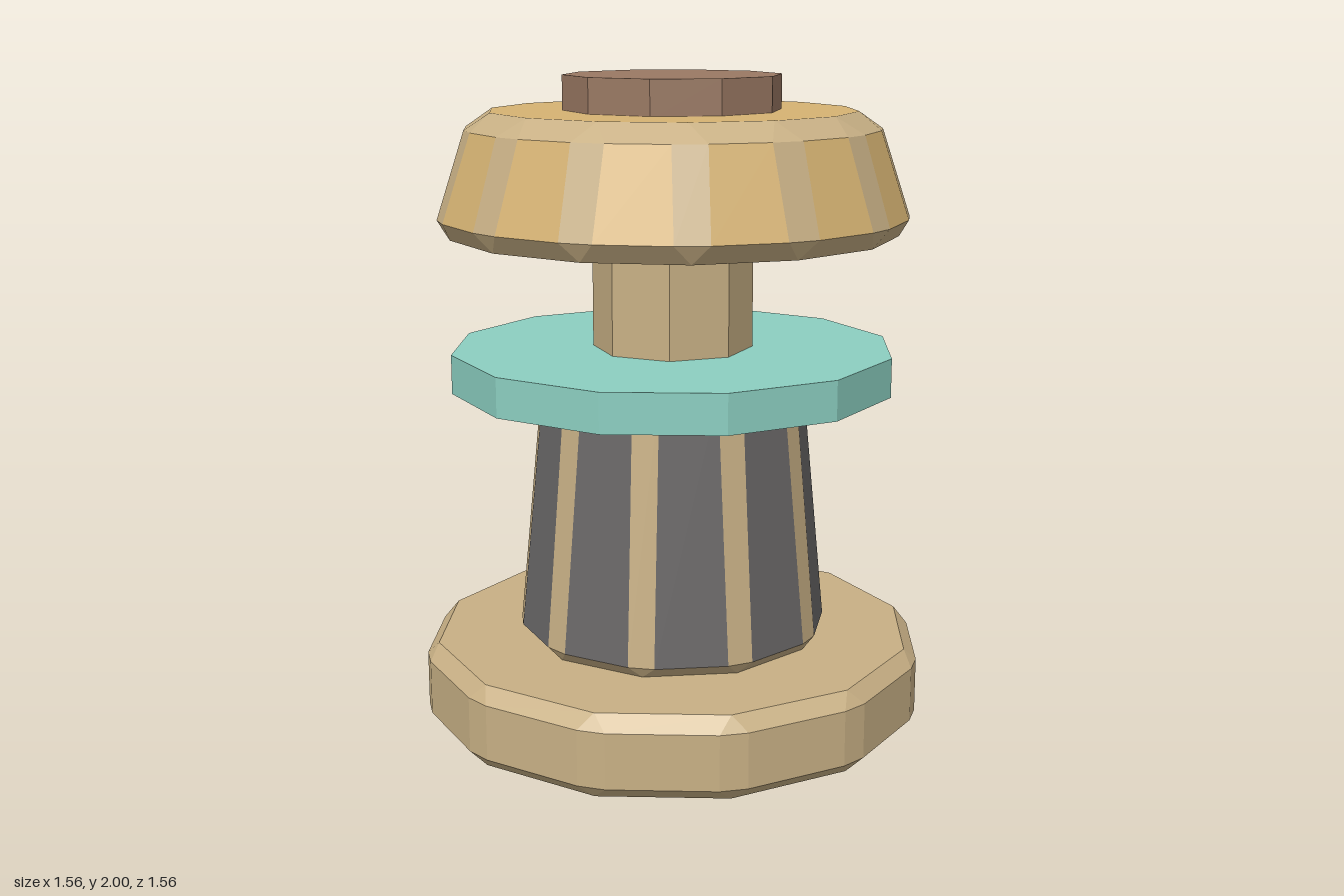
import * as THREE from 'three';

const mat = (name, color) => {
  const m = new THREE.MeshStandardMaterial({ color });
  m.name = name;
  return m;
};

// Point on a ring: corner i of n, moved sideways along the chamfer by t
function ringPoint(n, i, r, y, t) {
  const a = (i / n) * Math.PI * 2, d = r - Math.abs(t) * Math.tan(Math.PI / n);
  return [Math.sin(a) * d + Math.cos(a) * t, y, Math.cos(a) * d - Math.sin(a) * t];
}

// Tapered n-sided prism with every edge chamfered.
// bottom/top: sharp cap rings [r, y]; low/high: cut side rings [r, y]; w: half chamfer width.
// Group 0 holds the caps and wide side panels, group 1 the chamfers.
function chamferedPrism(n, bottom, low, high, top, w) {
  const panels = [], trims = [];
  const tri = (list, a, b, c) => list.push(...a, ...b, ...c);
  const quad = (list, a, b, c, d) => { tri(list, a, b, c); tri(list, a, c, d); };
  for (let i = 0; i < n; i++) {
    const p = (ring, k, t = 0) => ringPoint(n, k, ring[0], ring[1], t);
    const j = i + 1;
    // wide panel and its caps
    quad(panels, p(low, i, w), p(low, j, -w), p(high, j, -w), p(high, i, w));
    tri(panels, [0, top[1], 0], p(top, i), p(top, j));
    tri(panels, [0, bottom[1], 0], p(bottom, j), p(bottom, i));
    // corner strip, rim strips and corner triangles
    quad(trims, p(low, i, -w), p(low, i, w), p(high, i, w), p(high, i, -w));
    quad(trims, p(bottom, i), p(bottom, j), p(low, j, -w), p(low, i, w));
    quad(trims, p(high, i, w), p(high, j, -w), p(top, j), p(top, i));
    tri(trims, p(bottom, i), p(low, i, w), p(low, i, -w));
    tri(trims, p(high, i, -w), p(high, i, w), p(top, i));
  }
  const g = new THREE.BufferGeometry();
  g.setAttribute('position', new THREE.Float32BufferAttribute([...panels, ...trims], 3));
  g.addGroup(0, panels.length / 3, 0);
  g.addGroup(panels.length / 3, trims.length / 3, 1);
  g.computeVertexNormals();
  return g;
}

// Plain faceted cylinder between two heights
function prism(n, r, y0, y1) {
  const g = new THREE.CylinderGeometry(r, r, y1 - y0, n).toNonIndexed();
  g.translate(0, (y0 + y1) / 2, 0);
  g.computeVertexNormals();
  return g;
}

export function createModel() {
  const tan = mat('tan', 0xc8b085);
  const gold = mat('gold', 0xd6b373);
  const slate = mat('slate grey', 0x6a6868);
  const teal = mat('teal', 0x8ccfc1);
  const brown = mat('brown', 0x9a7963);

  const group = new THREE.Group();
  const add = (name, geometry, material) => {
    const mesh = new THREE.Mesh(geometry, material);
    mesh.name = name;
    group.add(mesh);
  };

  // Foot plate
  add('base', chamferedPrism(12, [0.75, 0], [0.793, 0.04], [0.793, 0.21], [0.75, 0.255], 0.042), [tan, tan]);
  // Tapered body with tan ribs on its corners
  add('body', chamferedPrism(10, [0.46, 0.255], [0.494, 0.29], [0.415, 1.1], [0.38, 1.13], 0.04), [slate, tan]);
  // Collar disc
  add('collar', prism(12, 0.687, 1.05, 1.17), teal);
  // Neck between collar and cap
  add('neck', prism(8, 0.247, 1.16, 1.54), tan);
  // Flared cap
  add('cap', chamferedPrism(14, [0.687, 1.525], [0.728, 1.58], [0.641, 1.842], [0.56, 1.895], 0.05), [gold, tan]);
  // Knob on top
  add('knob', prism(10, 0.333, 1.885, 2), brown);

  return group;
}
